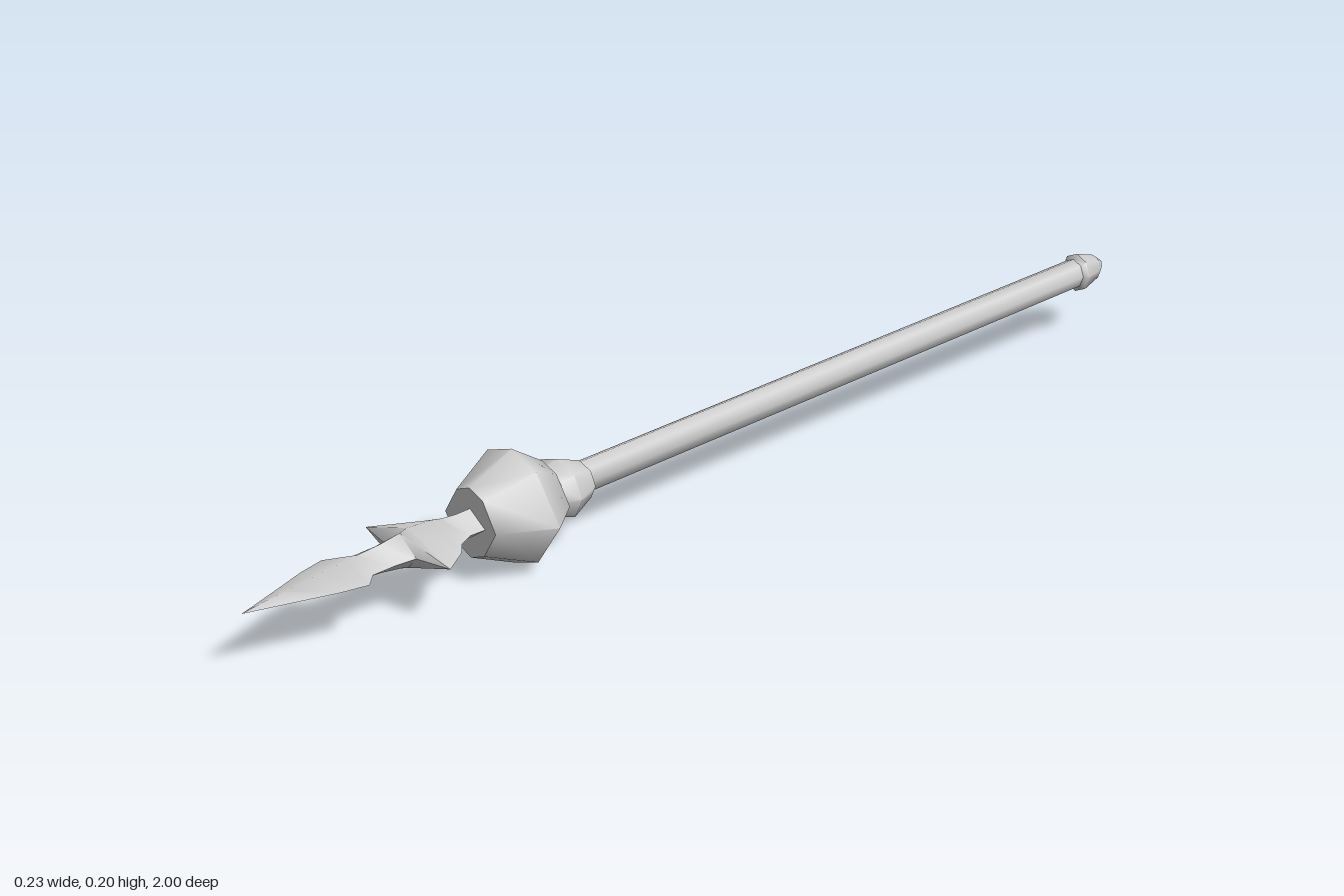
import * as THREE from 'three';
import { toCreasedNormals } from 'three/addons/utils/BufferGeometryUtils.js';

const AXIS = 0.103;
const material = new THREE.MeshStandardMaterial({ color: 0xcccccc });

// Unit outlines, counter-clockwise seen from +z
const ring = (n) => Array.from({ length: n }, (_, i) => {
  const a = (i / n) * Math.PI * 2;
  return [Math.cos(a), Math.sin(a)];
});
const octagon = ring(8);
const diamond = ring(4);
// Octagon pinched towards its side points
const pinched = octagon.map(([x, y]) =>
  Math.abs(x * y) > 0.1 ? [Math.sign(x) * 0.52, Math.sign(y) * 0.79] : [x, y]);

// Skins sections [z, half width, half height, centre y] and closes both ends
function loft(name, outline, sections, crease) {
  const n = outline.length, pos = [], idx = [];
  for (const [z, rx, ry, cy = AXIS] of sections)
    for (const [x, y] of outline) pos.push(x * rx, cy + y * ry, z);
  const last = sections.length - 1;
  const startCentre = pos.length / 3, endCentre = startCentre + 1;
  for (const s of [sections[0], sections[last]]) pos.push(0, s[3] ?? AXIS, s[0]);
  for (let j = 0; j < n; j++) {
    const k = (j + 1) % n;
    for (let i = 0; i < last; i++) {
      const a = i * n + j, b = i * n + k;
      idx.push(a, b, b + n, a, b + n, a + n);
    }
    idx.push(startCentre, k, j, endCentre, last * n + j, last * n + k);
  }
  const geometry = new THREE.BufferGeometry();
  geometry.setAttribute('position', new THREE.Float32BufferAttribute(pos, 3));
  geometry.setIndex(idx);
  const mesh = new THREE.Mesh(toCreasedNormals(geometry, crease), material);
  mesh.name = name;
  return mesh;
}

export function createModel() {
  const group = new THREE.Group();
  group.name = 'spear';
  group.add(
    // Slightly tilted handle
    loft('shaft', octagon, [
      [-0.95, 0.026, 0.028, 0.123],
      [0.34, 0.026, 0.029, 0.105],
    ], 0.9),
    // Cap on the rear end
    loft('endKnob', octagon, [
      [-1.0, 0.008, 0.01, 0.121],
      [-0.98, 0.022, 0.024, 0.121],
      [-0.935, 0.033, 0.037, 0.122],
      [-0.925, 0.026, 0.028, 0.122],
    ], 0.9),
    // Collar joining the handle and the ball
    loft('collar', octagon, [
      [0.31, 0.04, 0.034, 0.104],
      [0.36, 0.063, 0.052, 0.104],
      [0.4, 0.045, 0.04, 0.104],
    ], 0.9),
    // Faceted ball
    loft('ball', pinched, [
      [0.39, 0.066, 0.06],
      [0.455, 0.115, 0.102],
      [0.545, 0.062, 0.062],
    ], 1.1),
    // Barbed blade with a diamond cross-section
    loft('blade', diamond, [
      [0.53, 0.037, 0.026],
      [0.575, 0.036, 0.025],
      [0.605, 0.05, 0.028],
      [0.625, 0.073, 0.032],
      [0.675, 0.105, 0.035],
      [0.69, 0.04, 0.031],
      [0.73, 0.036, 0.025],
      [0.775, 0.037, 0.022],
      [0.8, 0.06, 0.019],
      [0.85, 0.049, 0.016],
      [0.92, 0.026, 0.009],
      [1.0, 0.0005, 0.0005],
    ], 1.1),
  );
  return group;
}
